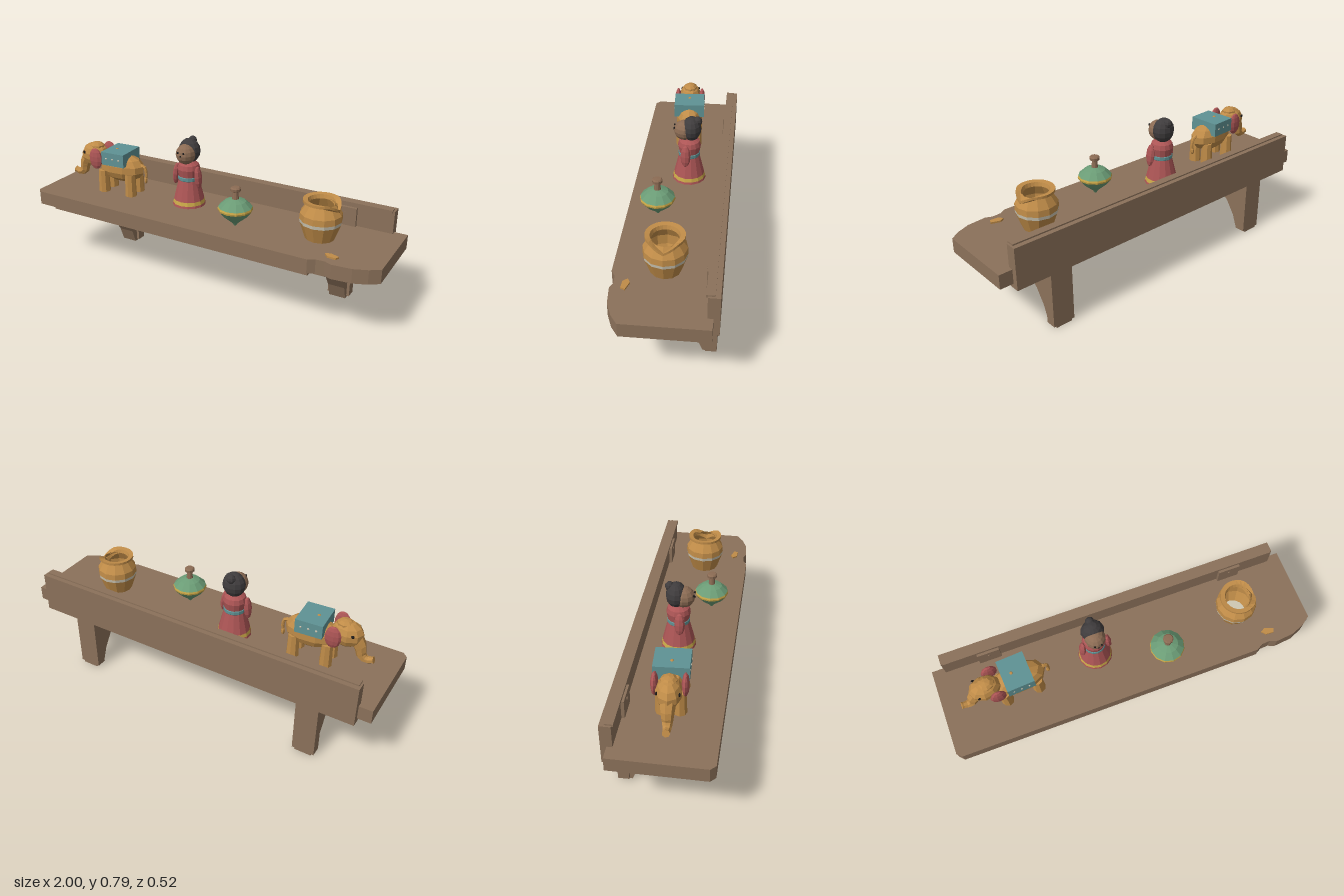
import * as THREE from 'three';

const mat = (name, color, extra = {}) => {
  const m = new THREE.MeshStandardMaterial({ color, flatShading: true, ...extra });
  m.name = name;
  return m;
};
const wood = mat('wood', 0x8b715a);
const clay = mat('ochre clay', 0xc08c48, { side: THREE.DoubleSide });
const red = mat('red cloth', 0xac5555);
const teal = mat('teal cloth', 0x5f9294);
const green = mat('green paint', 0x6b9c76);
const yellow = mat('yellow trim', 0xc9a748);
const cream = mat('cream glaze', 0xcfc8b4);
const hairMat = mat('charcoal', 0x3f3c3d);
const skin = mat('brown skin', 0x8c6c54);
const black = mat('black eye', 0x1c1a1a);

function add(parent, name, geo, material, x = 0, y = 0, z = 0) {
  const m = new THREE.Mesh(geo, material);
  m.name = name;
  m.position.set(x, y, z);
  parent.add(m);
  return m;
}
const box = (w, h, d) => new THREE.BoxGeometry(w, h, d);
const ball = (rx, ry, rz, w = 10, h = 7) => new THREE.SphereGeometry(1, w, h).scale(rx, ry, rz);
const lathe = (pts, n) => new THREE.LatheGeometry(pts.map(p => new THREE.Vector2(...p)), n);
const shapeOf = pts => new THREE.Shape(pts.map(p => new THREE.Vector2(...p)));
const extrude = (pts, depth) => new THREE.ExtrudeGeometry(shapeOf(pts), { depth, bevelEnabled: false });
// Plan outline in (x, z), raised along y
const slab = (pts, h) => extrude(pts.map(([x, z]) => [x, -z]).reverse(), h).rotateX(-Math.PI / 2);
function group(parent, name, x, y, z) {
  const g = new THREE.Group();
  g.name = name;
  g.position.set(x, y, z);
  parent.add(g);
  return g;
}
// Tapered limb: scales each ring of a tube about its path point
function taperedTube(pts, r0, r1, n) {
  const curve = new THREE.CatmullRomCurve3(pts.map(p => new THREE.Vector3(...p)));
  const segs = 7, g = new THREE.TubeGeometry(curve, segs, 1, n), pos = g.attributes.position;
  const v = new THREE.Vector3();
  for (let i = 0; i < pos.count; i++) {
    const t = Math.floor(i / (n + 1)) / segs, c = curve.getPointAt(t);
    v.fromBufferAttribute(pos, i).sub(c).multiplyScalar(r0 + (r1 - r0) * t).add(c);
    pos.setXYZ(i, v.x, v.y, v.z);
  }
  return g;
}

function buildShelf(root) {
  const g = group(root, 'shelf', 0, 0, 0);
  // Board with a chipped, worn front corner
  add(g, 'board', slab([[-1, -0.23], [1, -0.23], [1, 0.18], [0.95, 0.215], [0.88, 0.243], [0.78, 0.252],
    [0.745, 0.237], [0.70, 0.24], [0.665, 0.26], [-0.975, 0.26], [-1, 0.235]], 0.075), wood, 0, 0.345, 0);
  add(g, 'backBoard', box(1.86, 0.22, 0.056), wood, 0, 0.43, -0.231);
  add(g, 'backCap', box(1.84, 0.014, 0.04), wood, 0, 0.54, -0.215);
  add(g, 'frontBatten', box(1.55, 0.018, 0.04), wood, -0.11, 0.336, 0.225);
  // Curved brackets
  for (const x of [-0.685, 0.68]) {
    const b = group(g, 'bracket', x, 0, 0);
    add(b, 'upright', box(0.12, 0.51, 0.056), wood, 0, 0.265, -0.215);
    add(b, 'gusset', extrude([[-0.243, 0], [-0.173, 0], [-0.143, 0.078], [-0.09, 0.155], [-0.01, 0.222],
      [0.1, 0.28], [0.175, 0.303], [0.177, 0.346], [-0.243, 0.346]], 0.09).rotateY(-Math.PI / 2), wood, 0.045, 0, 0);
    add(b, 'screw', new THREE.CylinderGeometry(0.007, 0.007, 0.006, 6).rotateX(Math.PI / 2), wood, 0, 0.49, -0.186);
  }
}

function buildPot(root) {
  const g = group(root, 'pot', 0.627, 0, 0.012);
  add(g, 'potLower', lathe([[0, 0.421], [0.075, 0.421], [0.104, 0.505]], 12), clay);
  add(g, 'potStripe', lathe([[0.104, 0.505], [0.107, 0.523]], 12), cream);
  add(g, 'potUpper', lathe([[0.107, 0.523], [0.105, 0.555], [0.072, 0.607]], 12), clay);
  add(g, 'potInside', lathe([[0.066, 0.605], [0.092, 0.55], [0.09, 0.5], [0.062, 0.435]], 12), clay);
  add(g, 'potFloor', new THREE.CircleGeometry(0.063, 12).rotateX(-Math.PI / 2), cream, 0, 0.436, 0);
  // Flared rim, broken down into a V on one side
  const rim = lathe([[0.064, 0.602], [0.075, 0.604], [0.094, 0.612], [0.094, 0.625], [0.07, 0.622], [0.064, 0.602]], 24);
  const p = rim.attributes.position;
  for (let i = 0; i < p.count; i++) {
    const x = p.getX(i);
    if (x > 0) p.setY(i, p.getY(i) - 0.038 * Math.max(0, 1 - Math.abs(p.getZ(i)) / 0.07) * Math.min(1, x / 0.06));
  }
  add(g, 'potRim', rim, clay);
  // Fallen shard
  add(root, 'shard', slab([[0.72, 0.175], [0.745, 0.162], [0.792, 0.178], [0.782, 0.2], [0.74, 0.197]], 0.009), clay, 0, 0.42, 0);
}

function buildSpinningTop(root) {
  const g = group(root, 'spinningTop', 0.2, 0, 0.102);
  add(g, 'topLower', lathe([[0, 0.42], [0.006, 0.422], [0.016, 0.437], [0.066, 0.48], [0.089, 0.509]], 12), green);
  add(g, 'topBand', lathe([[0.089, 0.509], [0.091, 0.518], [0.088, 0.527]], 12), yellow);
  add(g, 'topUpper', lathe([[0.088, 0.527], [0.055, 0.558], [0.022, 0.57], [0, 0.57]], 12), green);
  add(g, 'topHandle', lathe([[0.018, 0.568], [0.014, 0.605], [0.026, 0.612], [0.027, 0.626], [0.021, 0.632], [0, 0.633]], 10), skin);
}

function buildDoll(root) {
  const g = group(root, 'doll', -0.155, 0, -0.027);
  const n = 14;
  add(g, 'hem', lathe([[0, 0.421], [0.091, 0.421], [0.088, 0.433]], n), red);
  add(g, 'hemBand', lathe([[0.088, 0.433], [0.083, 0.453]], n), yellow);
  add(g, 'skirt', lathe([[0.083, 0.453], [0.056, 0.563]], n), red);
  add(g, 'belt', lathe([[0.056, 0.563], [0.058, 0.566], [0.058, 0.582], [0.055, 0.585]], n), teal);
  add(g, 'bodice', lathe([[0.055, 0.585], [0.062, 0.625], [0.055, 0.65], [0.035, 0.664], [0, 0.667]], n), red);
  for (const s of [-1, 1]) {
    add(g, 'sleeve', ball(0.018, 0.062, 0.027, 8, 6), red, s * 0.068, 0.588, 0.015).rotation.z = s * 0.1;
    add(g, 'eye', ball(0.0055, 0.0065, 0.005, 6, 4), black, s * 0.018, 0.731, 0.08);
  }
  add(g, 'mouth', ball(0.005, 0.004, 0.004, 6, 4), black, 0, 0.714, 0.083);
  add(g, 'head', ball(0.054, 0.055, 0.057, 12, 8), skin, 0, 0.712, 0.026);
  add(g, 'hair', ball(0.061, 0.067, 0.052, 12, 8), hairMat, 0, 0.722, -0.011);
  add(g, 'bun', ball(0.024, 0.025, 0.024, 8, 6), hairMat, 0, 0.768, -0.043);
}

function buildElephant(root) {
  const g = group(root, 'elephant', -0.58, 0, 0.01);
  g.rotation.y = 0.06;
  add(g, 'body', ball(0.142, 0.082, 0.078, 10, 7), clay, 0.008, 0.567, 0);
  add(g, 'head', ball(0.085, 0.07, 0.062, 9, 7), clay, -0.168, 0.612, 0);
  add(g, 'crown', ball(0.045, 0.025, 0.04, 8, 5), clay, -0.155, 0.664, 0);
  add(g, 'trunk', taperedTube([[-0.215, 0.595, 0], [-0.243, 0.55, 0], [-0.25, 0.51, 0], [-0.275, 0.49, 0], [-0.31, 0.498, 0]], 0.038, 0.016, 7), clay);
  add(g, 'trunkTip', new THREE.CylinderGeometry(0.019, 0.016, 0.012, 7).rotateZ(1.3), clay, -0.308, 0.497, 0);
  add(g, 'tail', taperedTube([[0.13, 0.59, 0], [0.153, 0.585, 0], [0.163, 0.55, 0], [0.16, 0.52, 0]], 0.01, 0.007, 6), clay);
  add(g, 'tailTuft', ball(0.011, 0.022, 0.011, 6, 5), clay, 0.16, 0.512, 0);
  for (const s of [-1, 1]) {
    add(g, 'ear', ball(0.042, 0.061, 0.018, 9, 7), red, -0.12, 0.615, s * 0.07);
    add(g, 'eye', ball(0.009, 0.009, 0.005, 6, 4), black, -0.21, 0.633, s * 0.051);
    for (const x of [-0.09, 0.085])
      add(g, 'leg', new THREE.CylinderGeometry(0.029, 0.033, 0.125, 8), clay, x, 0.483, s * 0.042);
    // Beads along the blanket edge
    for (let i = -1; i <= 1; i++)
      add(g, 'bead', ball(0.006, 0.006, 0.003, 6, 4), cream, i * 0.04, 0.632, s * 0.086);
  }
  add(g, 'blanket', box(0.142, 0.074, 0.17), teal, 0, 0.63, 0);
  add(g, 'blanketStud', ball(0.009, 0.004, 0.009, 6, 4), clay, -0.02, 0.667, 0);
}

export function createModel() {
  const root = new THREE.Group();
  root.name = 'toyShelf';
  buildShelf(root);
  buildElephant(root);
  buildDoll(root);
  buildSpinningTop(root);
  buildPot(root);
  return root;
}
